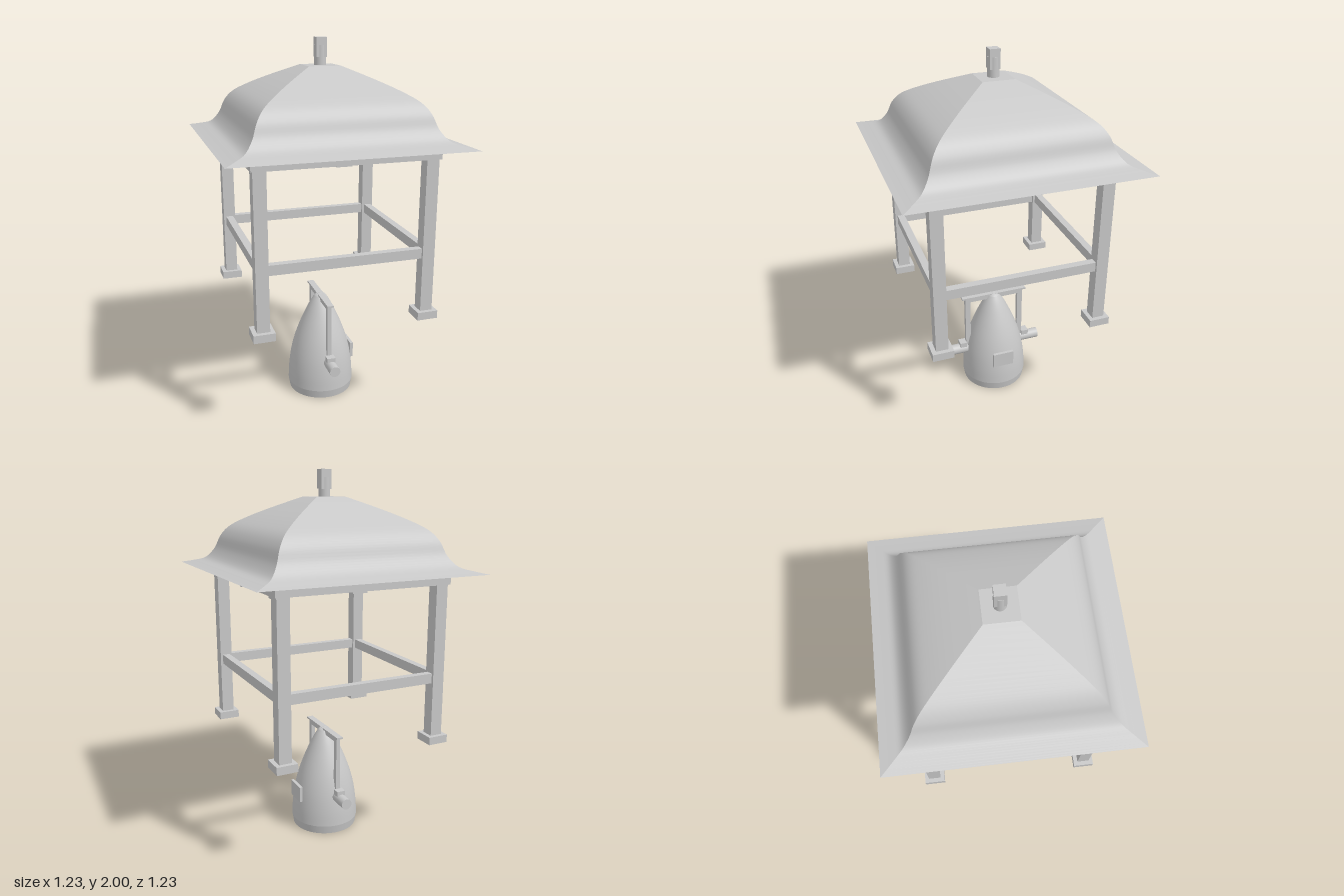
import * as THREE from 'three';

const grey = new THREE.MeshStandardMaterial({ color: 0xc8c8c8 });
grey.name = 'plain grey';
const greyOpen = grey;

function add(parent, name, geo, x = 0, y = 0, z = 0) {
  const m = new THREE.Mesh(geo, grey);
  m.name = name;
  m.position.set(x, y, z);
  parent.add(m);
  return m;
}

// box given by its x, y and z ranges
function box(parent, name, x0, x1, y0, y1, z0, z1) {
  return add(parent, name, new THREE.BoxGeometry(x1 - x0, y1 - y0, z1 - z0),
    (x0 + x1) / 2, (y0 + y1) / 2, (z0 + z1) / 2);
}

// one curved roof slope facing +z, made of rows that widen towards the eaves
function slopeGeometry(profile) {
  const pos = [], idx = [];
  profile.forEach((p, i) => {
    pos.push(-p.x, p.y, p.x, p.x, p.y, p.x);
    if (i > 0) {
      const a = 2 * (i - 1), b = 2 * i;
      idx.push(a, b, b + 1, a, b + 1, a + 1);
    }
  });
  const g = new THREE.BufferGeometry();
  g.setAttribute('position', new THREE.Float32BufferAttribute(pos, 3));
  g.setIndex(idx);
  g.computeVertexNormals();
  // keep each row's normal in the plane of the profile
  const n = g.attributes.normal;
  for (let i = 0; i < profile.length; i++) {
    const a = profile[Math.max(i - 1, 0)], b = profile[Math.min(i + 1, profile.length - 1)];
    const v = new THREE.Vector2(a.y - b.y, b.x - a.x).normalize();
    n.setXYZ(2 * i, 0, v.y, v.x);
    n.setXYZ(2 * i + 1, 0, v.y, v.x);
  }
  return g;
}

function createRoof() {
  const roof = new THREE.Group();
  roof.name = 'roof';
  const curve = new THREE.SplineCurve([
    [0.085, 1.86], [0.228, 1.795], [0.33, 1.742], [0.395, 1.698], [0.435, 1.645],
    [0.463, 1.575], [0.505, 1.522], [0.56, 1.502], [0.617, 1.488],
  ].map(([x, y]) => new THREE.Vector2(x, y)));
  const slope = slopeGeometry(curve.getPoints(40));
  for (let i = 0; i < 4; i++) add(roof, 'roofSlope', slope).rotation.y = i * Math.PI / 2;

  // flat cap and underside
  const cap = add(roof, 'roofCap', new THREE.PlaneGeometry(0.17, 0.17), 0, 1.86, 0);
  cap.rotation.x = -Math.PI / 2;
  const under = add(roof, 'roofUnderside', new THREE.PlaneGeometry(1.234, 1.234), 0, 1.488, 0);
  under.rotation.x = Math.PI / 2;
  box(roof, 'ceilingBoard', -0.503, 0.503, 1.483, 1.489, -0.503, 0.503);

  // finial
  add(roof, 'finialStem', new THREE.CylinderGeometry(0.031, 0.031, 0.1, 32), 0, 1.91, 0);
  box(roof, 'finialBlock', -0.028, 0.028, 1.9, 2, -0.028, 0.028);
  return roof;
}

function createFrame() {
  const frame = new THREE.Group();
  frame.name = 'frame';
  for (const sx of [-1, 1]) {
    for (const sz of [-1, 1]) {
      const x = sx * 0.437, z = sz * 0.437;
      box(frame, 'post', x - 0.033, x + 0.033, 0.61, 1.44, z - 0.033, z + 0.033);
      box(frame, 'foot', x - 0.056, x + 0.056, 0.578, 0.62, z - 0.056, z + 0.056);
    }
    // rails and top beams
    const c = sx * 0.437;
    box(frame, 'sideRail', c - 0.02, c + 0.02, 0.91, 0.963, -0.405, 0.405);
    box(frame, 'crossRail', -0.405, 0.405, 0.91, 0.963, c - 0.02, c + 0.02);
    box(frame, 'sideTopBeam', c - 0.043, c + 0.043, 1.43, 1.485, -0.48, 0.48);
    box(frame, 'crossTopBeam', -0.394, 0.394, 1.43, 1.485, c - 0.043, c + 0.043);
    // hanging blocks
    box(frame, 'edgeBlock', 0.358, 0.4, 1.383, 1.485, sx * 0.212 - 0.014, sx * 0.212 + 0.014);
    box(frame, 'beamBlock', -0.02, 0.02, 1.387, 1.42, sx * 0.066 - 0.012, sx * 0.066 + 0.012);
  }
  box(frame, 'hangingBeam', -0.04, 0.04, 1.407, 1.485, -0.4, 0.4);
  return frame;
}

function createBell() {
  const bell = new THREE.Group();
  bell.name = 'bell';
  // outer shell, flat rim and hollow inside
  const V = (x, y) => new THREE.Vector2(x, y);
  const outer = new THREE.SplineCurve([
    V(0.188, 0.05), V(0.184, 0.13), V(0.172, 0.22), V(0.15, 0.31), V(0.12, 0.395),
    V(0.083, 0.48), V(0.055, 0.535), V(0.034, 0.568),
  ]).getPoints(32);
  const lathe = (name, pts) => add(bell, name, new THREE.LatheGeometry(pts, 48));
  lathe('bellLip', [V(0.18, 0.004), V(0.188, 0.05)]);
  lathe('bellShell', outer);
  lathe('bellCrown', [V(0.034, 0.568), V(0.022, 0.58), V(0, 0.582)]);
  lathe('bellRim', [V(0.152, 0.004), V(0.18, 0.004)]);
  lathe('bellInside', [V(0, 0.5), V(0.05, 0.47), V(0.1, 0.37), V(0.135, 0.24), V(0.15, 0.12), V(0.152, 0.004)]);
  box(bell, 'bellPlate', 0.166, 0.183, 0.175, 0.263, -0.061, 0.061);

  // pivots and yoke
  for (const s of [-1, 1]) {
    const pivot = new THREE.CylinderGeometry(0.03, 0.03, 0.12, 32).rotateX(Math.PI / 2);
    add(bell, 'pivot', pivot, 0, 0.22, s * 0.22);
    box(bell, 'pivotBlock', -0.024, 0.024, 0.24, 0.27, s * 0.195 - 0.021, s * 0.195 + 0.021);
    box(bell, 'yokeArm', -0.012, 0.012, 0.245, 0.565, s * 0.161 - 0.015, s * 0.161 + 0.015);
  }
  box(bell, 'yokeBeam', -0.012, 0.012, 0.547, 0.572, -0.176, 0.176);
  box(bell, 'yokeStrap', -0.018, 0.018, 0.571, 0.581, -0.195, 0.195);
  return bell;
}

export function createModel() {
  const model = new THREE.Group();
  model.name = 'bellPavilion';
  model.add(createRoof(), createFrame(), createBell());
  return model;
}
